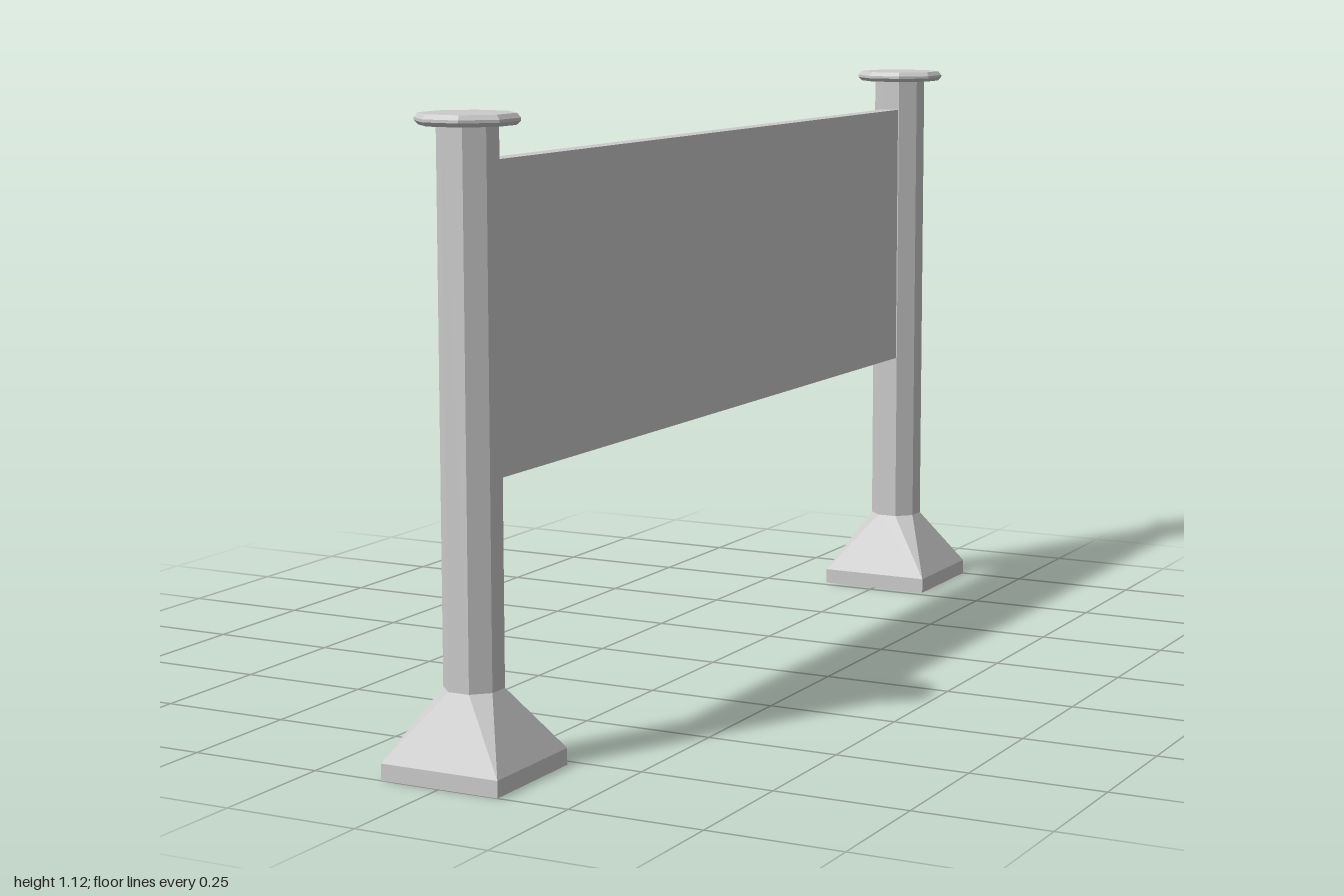
import * as THREE from 'three';
import { ConvexGeometry } from 'three/addons/geometries/ConvexGeometry.js';

const POST_Z = 0.885;
const POST_R = 0.049; // centre to flat side of the octagonal post
const material = new THREE.MeshStandardMaterial({ color: 0xcccccc, flatShading: true });

function part(name, geometry) {
  const mesh = new THREE.Mesh(geometry, material);
  mesh.name = name;
  return mesh;
}

// Octagonal solid from [distance to flat side, height] pairs, flats facing the axes
function octagonal(profile) {
  const k = 1 / Math.cos(Math.PI / 8);
  const points = profile.map(([r, y]) => new THREE.Vector2(r * k, y));
  return new THREE.LatheGeometry(points, 8, Math.PI / 8);
}

// Square plinth that tapers into the octagonal post
function footGeometry() {
  const points = [];
  for (const y of [0, 0.03]) {
    for (const x of [-0.115, 0.115]) {
      for (const z of [-0.115, 0.115]) points.push(new THREE.Vector3(x, y, z));
    }
  }
  const r = POST_R / Math.cos(Math.PI / 8);
  for (let i = 0; i < 8; i++) {
    const a = (i + 0.5) * Math.PI / 4;
    points.push(new THREE.Vector3(r * Math.cos(a), 0.15, r * Math.sin(a)));
  }
  return new ConvexGeometry(points);
}

function createPost(name, z) {
  const post = new THREE.Group();
  post.name = name;
  post.add(part('foot', footGeometry()));
  post.add(part('shaft', octagonal([[POST_R, 0.15], [POST_R, 1.106]])));
  // Flat cap with a bevelled rim
  post.add(part('cap', octagonal([
    [0, 1.105], [0.076, 1.105], [0.083, 1.112], [0.083, 1.117], [0.077, 1.125], [0, 1.125],
  ])));
  post.position.z = z;
  return post;
}

export function createModel() {
  const model = new THREE.Group();
  model.name = 'barrier';
  model.add(createPost('frontPost', POST_Z), createPost('backPost', -POST_Z));

  // Panel spanning between the posts
  const panel = part('panel', new THREE.BoxGeometry(0.036, 0.542, 2 * (POST_Z - POST_R) + 0.01));
  panel.position.y = 0.773;
  model.add(panel);
  return model;
}
